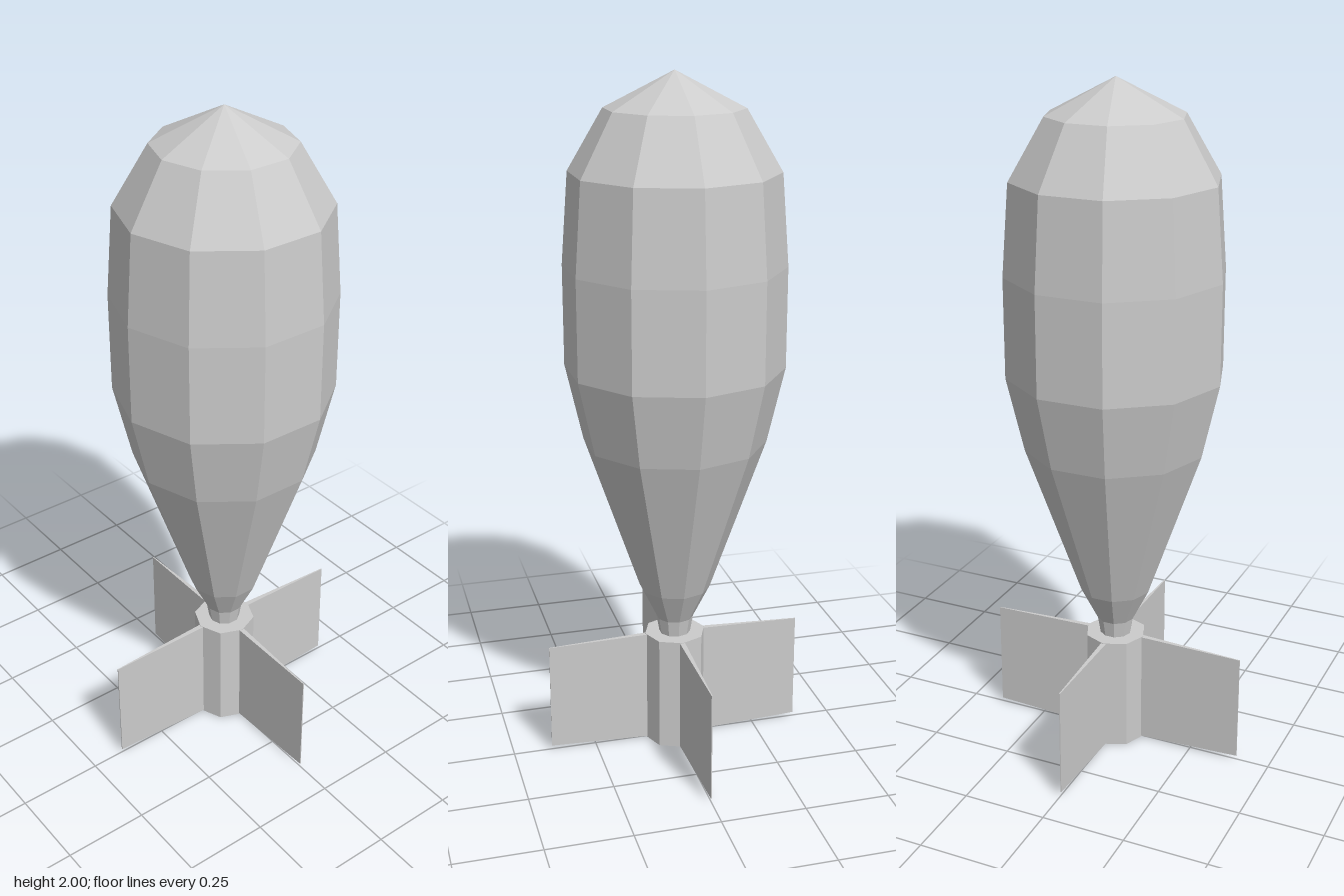
import * as THREE from 'three';

const material = new THREE.MeshStandardMaterial({ color: 0xcccccc, flatShading: true });

function addMesh(parent, name, geometry) {
  const mesh = new THREE.Mesh(geometry, material);
  mesh.name = name;
  parent.add(mesh);
  return mesh;
}

// Fin pointing along +x: a box narrowed in height and thickness towards its tip
function finGeometry(root, tip) {
  const geometry = new THREE.BoxGeometry(1, 1, 1);
  const p = geometry.attributes.position;
  for (let i = 0; i < p.count; i++) {
    const outer = p.getX(i) > 0;
    p.setXYZ(i,
      outer ? tip : root,
      0.176 + p.getY(i) * (outer ? 0.328 : 0.346),
      p.getZ(i) * (outer ? 0.003 : 0.016));
  }
  geometry.computeVertexNormals();
  return geometry;
}

export function createModel() {
  const group = new THREE.Group();
  group.name = 'finnedBomb';

  // Ten-sided teardrop body, narrow neck to pointed nose
  const profile = [
    [0.045, 0.34], [0.055, 0.4], [0.105, 0.5], [0.265, 0.96], [0.315, 1.18],
    [0.315, 1.47], [0.295, 1.73], [0.195, 1.9], [0, 2],
  ].map(([r, y]) => new THREE.Vector2(r, y));
  addMesh(group, 'body', new THREE.LatheGeometry(profile, 10, Math.PI / 2));

  // Eight-sided tail collar
  const collar = addMesh(group, 'tailCollar', new THREE.CylinderGeometry(0.092, 0.092, 0.35, 8));
  collar.position.y = 0.175;

  // Four fins on the collar corners
  ['leftFin', 'backFin', 'rightFin', 'frontFin'].forEach((name, i) => {
    const fin = addMesh(group, name, finGeometry(0.08, i % 2 ? 0.385 : 0.4));
    fin.rotation.y = i * Math.PI / 2;
  });

  return group;
}
